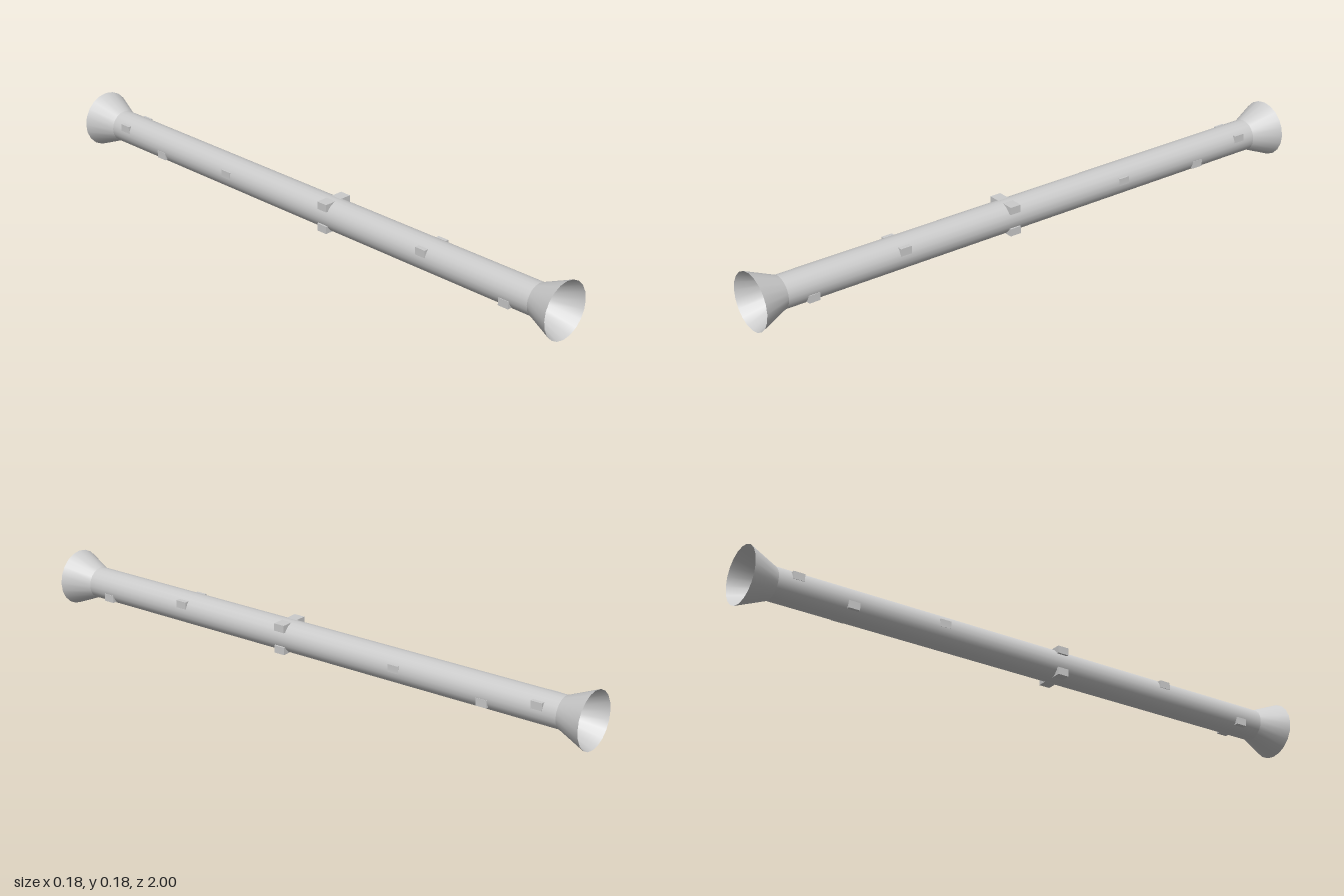
import * as THREE from 'three';

const AXIS_Y = 0.092;   // height of the tube's centre line
const TUBE_R = 0.052;
const FLARE_R = 0.092;
const FLARE_Z = 0.905;  // where the flared mouths begin
const SIDES = 20;

export function createModel() {
  const group = new THREE.Group();
  const shell = new THREE.MeshStandardMaterial({ color: 0xcccccc, side: THREE.DoubleSide });
  const solid = new THREE.MeshStandardMaterial({ color: 0xcccccc });

  // Open conical or straight sleeve along z, from z0 (back) to z1 (front)
  function sleeve(name, r0, r1, z0, z1) {
    const geometry = new THREE.CylinderGeometry(r1, r0, z1 - z0, SIDES, 1, true);
    geometry.rotateX(Math.PI / 2);
    const mesh = new THREE.Mesh(geometry, shell);
    mesh.name = name;
    mesh.position.set(0, AXIS_Y, (z0 + z1) / 2);
    group.add(mesh);
  }
  sleeve('tube', TUBE_R, TUBE_R, -FLARE_Z, FLARE_Z);
  sleeve('frontFlare', TUBE_R, FLARE_R, FLARE_Z, 1);
  sleeve('backFlare', FLARE_R, TUBE_R, -1, -FLARE_Z);

  // Cross bars through the tube, their ends poking out at the sides: [z, centre y]
  const bars = [
    [0.82, 0.067], [0.5, 0.116], [0.095, 0.13], [0.095, 0.057],
    [-0.34, 0.101], [-0.655, 0.073], [-0.84, 0.113],
  ];
  const barGeometry = new THREE.BoxGeometry(0.104, 0.0245, 0.038);
  bars.forEach(([z, y], i) => {
    const bar = new THREE.Mesh(barGeometry, solid);
    bar.name = `crossBar${i + 1}`;
    bar.position.set(0, y, z);
    group.add(bar);
  });

  return group;
}
